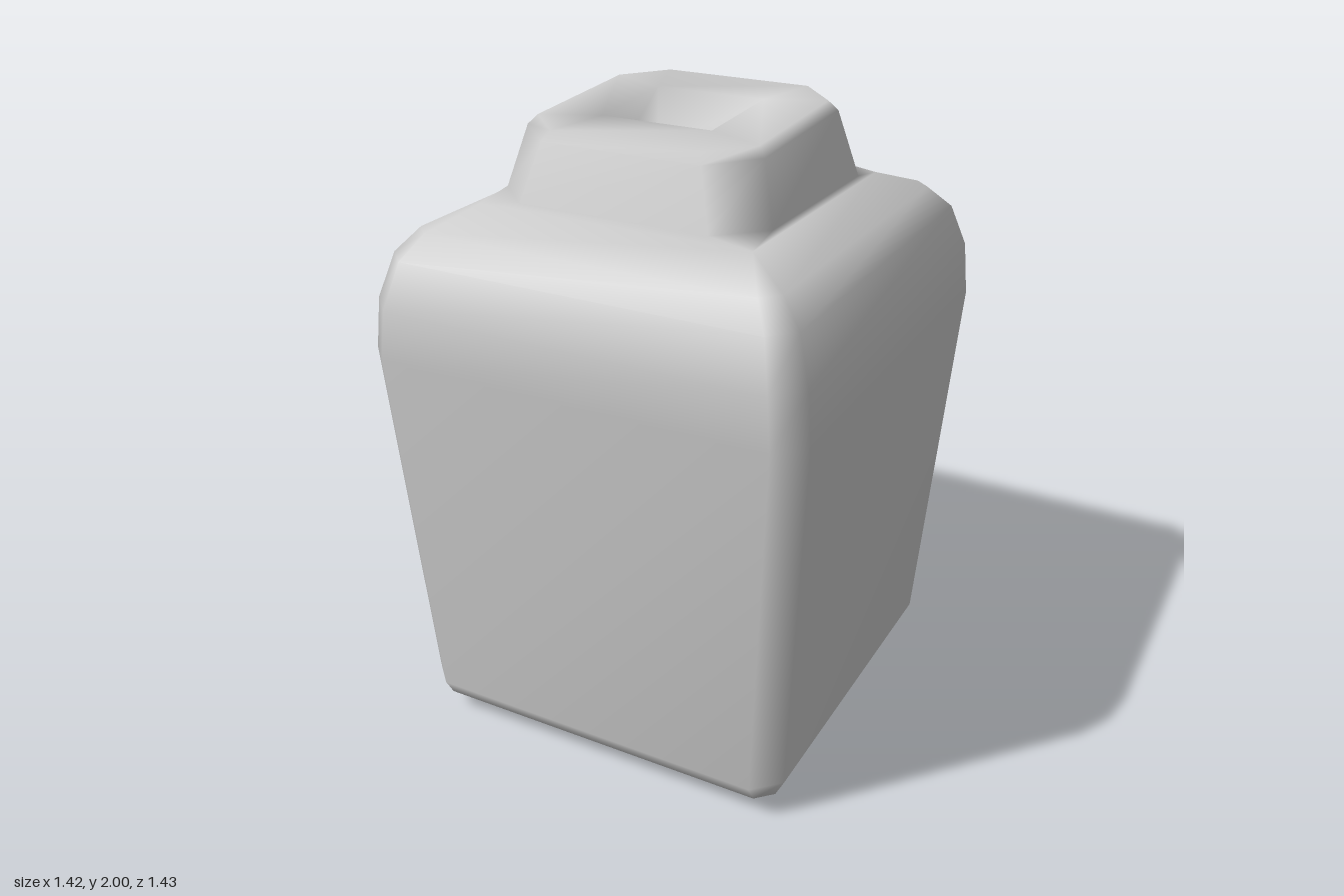
import * as THREE from 'three';
import { mergeVertices } from 'three/addons/utils/BufferGeometryUtils.js';

// Chamfered rectangle, counter-clockwise from above; height varies from back to front.
function section([x, back, front, yBack, yFront, c]) {
  const outline = [
    [x - c, front], [x, front - c], [x, back + c], [x - c, back],
    [c - x, back], [-x, back + c], [-x, front - c], [c - x, front],
  ];
  return outline.map(([px, pz]) => {
    const t = (pz - back) / (front - back);
    return [px, yBack + (yFront - yBack) * t, pz];
  });
}

// Skin neighbouring sections and cap both ends, with smooth shared normals.
function loft(rings) {
  const positions = rings.flatMap(section).flat();
  const index = [];
  const n = 8;
  for (let r = 0; r < rings.length - 1; r++) {
    for (let i = 0; i < n; i++) {
      const j = (i + 1) % n;
      const a = r * n + i, b = r * n + j;
      index.push(a, b, b + n, a, b + n, a + n);
    }
  }
  const last = (rings.length - 1) * n;
  for (let i = 1; i < n - 1; i++) {
    index.push(0, i + 1, i);
    index.push(last, last + i, last + i + 1);
  }
  let geometry = new THREE.BufferGeometry();
  geometry.setAttribute('position', new THREE.Float32BufferAttribute(positions, 3));
  geometry.setIndex(index);
  geometry = mergeVertices(geometry, 1e-4);
  geometry.computeVertexNormals();
  return geometry;
}

export function createModel() {
  const group = new THREE.Group();
  group.name = 'squareBottle';
  const grey = new THREE.MeshStandardMaterial({ color: 0xcccccc });
  grey.name = 'plain grey';

  // Half width, back z, front z, back y, front y, corner chamfer
  const rings = [
    // bevelled foot
    [0.51, -0.48, 0.51, 0, 0, 0],
    [0.61, -0.575, 0.61, 0.065, 0.065, 0.05],
    [0.64, -0.605, 0.645, 0.125, 0.125, 0.08],
    // flared walls and rounded shoulder
    [0.71, -0.715, 0.72, 1.31, 1.31, 0.08],
    [0.695, -0.705, 0.71, 1.48, 1.47, 0.08],
    [0.65, -0.66, 0.665, 1.61, 1.61, 0.07],
    [0.58, -0.595, 0.6, 1.675, 1.685, 0.05],
    [0.44, -0.445, 0.445, 1.73, 1.745, 0],
    // tapered neck with cut corners
    [0.435, -0.44, 0.44, 1.75, 1.765, 0.13],
    [0.385, -0.375, 0.393, 1.97, 1.94, 0.13],
    [0.36, -0.345, 0.365, 2, 1.967, 0.12],
    // square recess in the sloping top
    [0.18, -0.155, 0.18, 1.992, 1.976, 0],
    [0.175, -0.15, 0.175, 1.8, 1.79, 0],
  ];
  const bottle = new THREE.Mesh(loft(rings), grey);
  bottle.name = 'bottleBody';
  group.add(bottle);
  return group;
}
